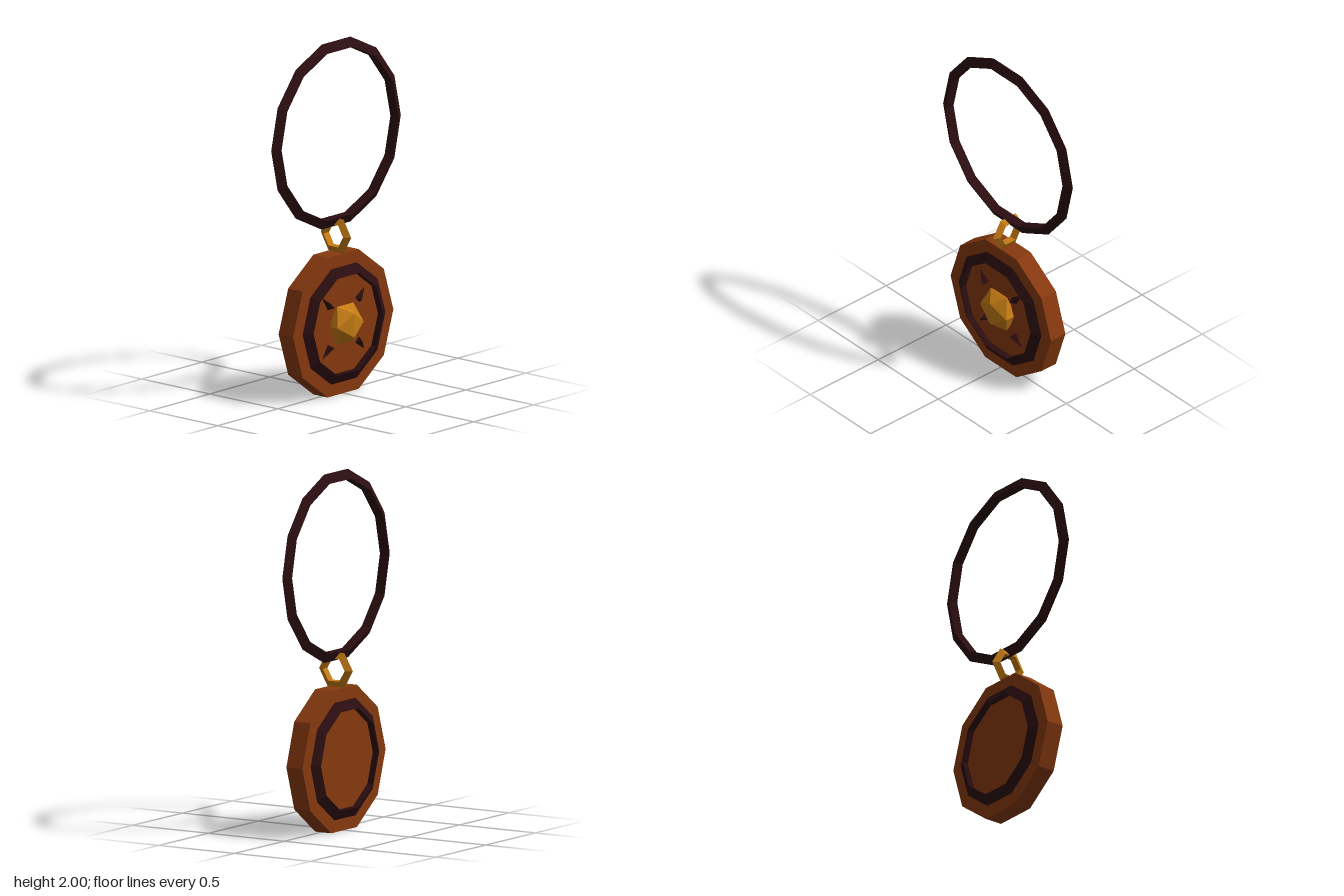
import * as THREE from 'three';

const Z = -0.013; // mid plane of disc, link and cord
const Y = 0.4;    // height of the disc centre

function material(name, color) {
  const m = new THREE.MeshStandardMaterial({ color, flatShading: true });
  m.name = name;
  return m;
}

export function createModel() {
  const group = new THREE.Group();
  group.name = 'pendant';
  const copper = material('copper brown', 0x87390f);
  const dark = material('dark maroon', 0x2b0d10);
  const gold = material('gold', 0xc47b14);

  function add(name, geometry, mat, x, y, z) {
    const mesh = new THREE.Mesh(geometry, mat);
    mesh.name = name;
    mesh.position.set(x, y, z);
    group.add(mesh);
    return mesh;
  }

  // Ten-sided medallion with a corner at each side
  const disc = new THREE.CylinderGeometry(0.418, 0.418, 0.106, 10);
  disc.rotateY(Math.PI / 2).rotateX(Math.PI / 2);
  add('disc', disc, copper, 0, Y, Z);

  // Raised triangular-section rims on both faces
  for (const s of [1, -1]) {
    add(s > 0 ? 'frontRim' : 'backRim', new THREE.TorusGeometry(0.308, 0.037, 3, 10), dark, 0, Y, Z + s * 0.059);
  }

  // Flattened gem in the centre
  const gem = new THREE.IcosahedronGeometry(0.128, 0);
  gem.scale(1, 1, 0.6);
  add('gem', gem, gold, 0, Y, 0.055);

  // Four three-sided spikes pointing outward on the diagonals
  for (let i = 0; i < 4; i++) {
    const a = Math.PI / 4 + i * Math.PI / 2;
    const spike = add('spike', new THREE.ConeGeometry(0.035, 0.084, 3), dark,
      Math.cos(a) * 0.203, Y + Math.sin(a) * 0.203, 0.042);
    spike.rotation.z = a - Math.PI / 2;
  }

  // Hexagonal link standing across the disc
  const link = new THREE.TorusGeometry(0.085, 0.0265, 3, 6);
  link.rotateY(Math.PI / 2);
  add('link', link, gold, 0, 0.895, Z);

  // Large neck ring
  add('neckRing', new THREE.TorusGeometry(0.505, 0.035, 3, 14), dark, 0, 1.474, Z);

  return group;
}
